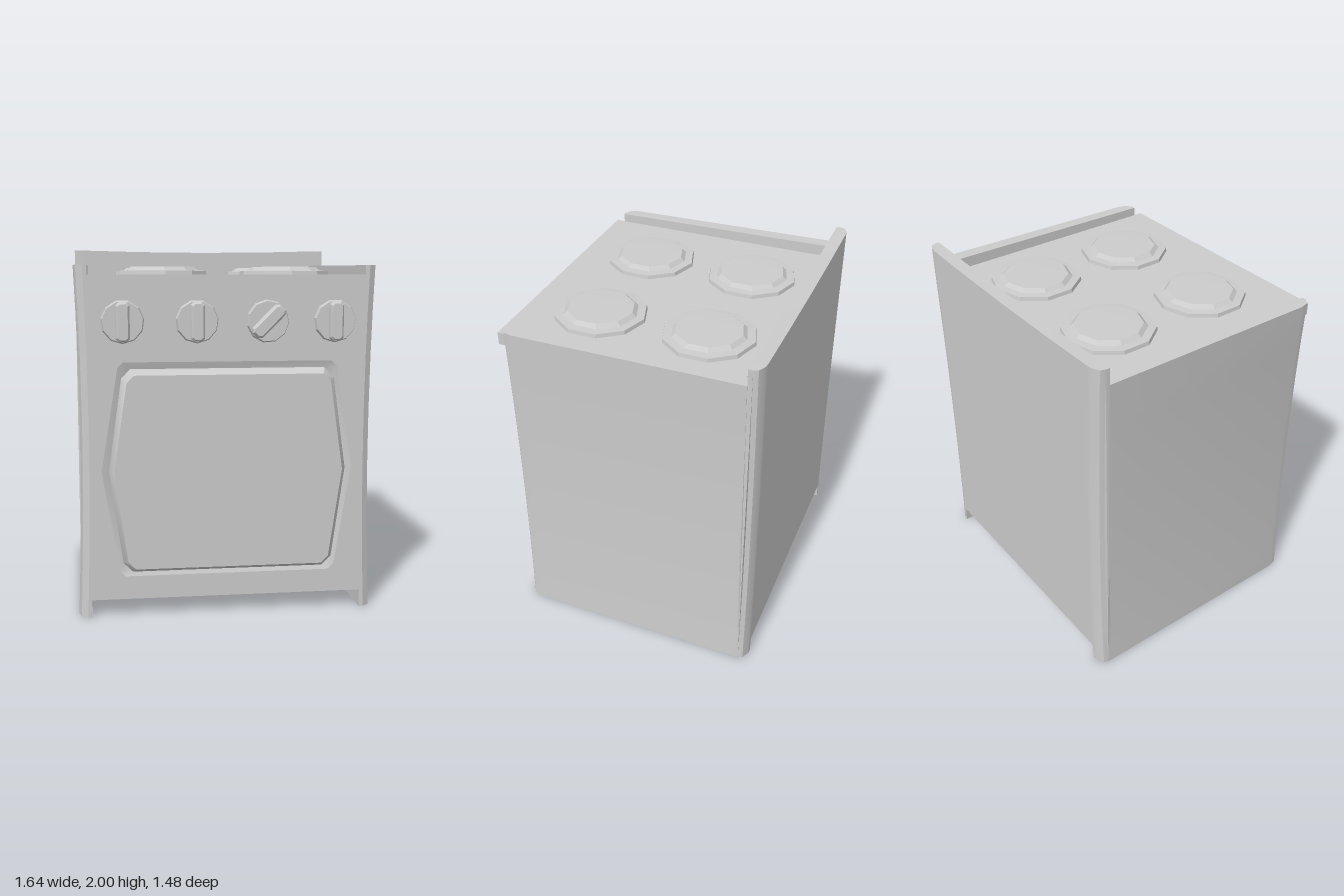
import * as THREE from 'three';
import { toCreasedNormals } from 'three/addons/utils/BufferGeometryUtils.js';

const V = (x, y, z) => new THREE.Vector3(x, y, z);
const material = new THREE.MeshStandardMaterial({ color: 0xcccccc });

function add(parent, name, geometry, x = 0, y = 0, z = 0) {
  const mesh = new THREE.Mesh(geometry, material);
  mesh.name = name;
  mesh.position.set(x, y, z);
  parent.add(mesh);
}

// Skin a series of closed cross-sections, with fan caps at both ends
function loft(rings, caps = true) {
  const n = rings[0].length, last = (rings.length - 1) * n, index = [];
  for (let i = 0; i < rings.length - 1; i++) {
    for (let j = 0; j < n; j++) {
      const a = i * n + j, b = i * n + (j + 1) % n;
      index.push(a, b, b + n, a, b + n, a + n);
    }
  }
  for (let j = 1; caps && j < n - 1; j++) {
    index.push(0, j + 1, j, last, last + j, last + j + 1);
  }
  const g = new THREE.BufferGeometry().setFromPoints(rings.flat());
  g.setIndex(index);
  return toCreasedNormals(g, 0.6);
}

// The sides are slightly pinched at mid height
const waist = (y) => 1 - 0.027 * Math.max(0, 1 - ((y - 0.95) / 0.95) ** 2);

// Six-sided outline with cut corners, widest at mid height
function doorRing(mid, end, y0, y1, cut, z) {
  const yc = (y0 + y1) / 2;
  return [
    V(-end + cut, y0, z), V(end - cut, y0, z), V(end, y0 + cut, z), V(mid, yc, z), V(end, y1 - cut, z),
    V(end - cut, y1, z), V(-end + cut, y1, z), V(-end, y1 - cut, z), V(-mid, yc, z), V(-end, y0 + cut, z),
  ];
}

// Bevelled bar outline for the knob grips
function gripRing(w, h, c, z) {
  return [V(-w + c, -h, z), V(w - c, -h, z), V(w, -h + c, z), V(w, h - c, z),
    V(w - c, h, z), V(-w + c, h, z), V(-w, h - c, z), V(-w, -h + c, z)];
}

function sidePanel(s) {
  const outline = [[0.74, 0.675], [0.765, 0.675], [0.8, 0.65], [0.813, 0.6], [0.82, -0.665], [0.74, -0.665]];
  const levels = [0, 0.1, 0.3, 0.55, 0.82, 1.1, 1.4, 1.65, 1.89];
  return loft(levels.map((y) => {
    const ring = outline.map(([x, z]) =>
      V(s * (x > 0.75 ? x * waist(y) : x), y > 1.8 && z < 0 ? 1.905 : y, z));
    return s > 0 ? ring : ring.reverse();
  }));
}

// Upright back: rounded at its vertical edges, with a dipped top and corner feet
function backPanel() {
  const half = [[0.82, -0.69, 0], [0.81, -0.715, 0], [0.77, -0.735, 0], [0.742, -0.738, 0],
    [0.738, -0.738, 0.095], [0.4, -0.738, 0.095]];
  const stations = [...half.map(([x, z, b]) => [-x, z, b]), [0, -0.738, 0.095], ...half.slice().reverse()];
  const steps = 8;
  return loft(stations.map(([x, z, bottom]) => {
    const top = 1.988 + 0.012 * Math.min(1, (x / 0.75) ** 2);
    const front = [], back = [];
    for (let k = 0; k <= steps; k++) {
      const y = bottom + (top - bottom) * k / steps;
      back.push(V(x * waist(y), y, z));
      front.unshift(V(x * waist(y), y, -0.665));
    }
    return [...back, ...front];
  }));
}

export function createModel() {
  const stove = new THREE.Group();
  stove.name = 'stove';

  // Case
  add(stove, 'body', new THREE.BoxGeometry(1.484, 1.69, 1.32), 0, 0.94, -0.015);
  add(stove, 'cooktop', new THREE.BoxGeometry(1.484, 0.07, 1.39), 0, 1.805, 0.03);
  add(stove, 'leftSidePanel', sidePanel(1));
  add(stove, 'rightSidePanel', sidePanel(-1));
  add(stove, 'backPanel', backPanel());

  // Front panel with a shallow sloped recess around the oven door
  const recess = doorRing(0.68, 0.59, 0.222, 1.383, 0.03, 0.675);
  const face = new THREE.Shape([[-0.742, 0.095], [0.742, 0.095], [0.742, 1.78], [-0.742, 1.78]]
    .map(([x, y]) => new THREE.Vector2(x, y)));
  face.holes.push(new THREE.Path(recess.map((p) => new THREE.Vector2(p.x, p.y))));
  add(stove, 'frontPanel', new THREE.ExtrudeGeometry(face, { depth: 0.03, bevelEnabled: false }), 0, 0, 0.645);
  add(stove, 'doorRecess', loft([recess, doorRing(0.637, 0.567, 0.255, 1.342, 0.05, 0.658)], false));

  // Oven door
  add(stove, 'ovenDoor', loft([
    doorRing(0.642, 0.572, 0.25, 1.347, 0.05, 0.64),
    doorRing(0.64, 0.57, 0.252, 1.345, 0.05, 0.69),
    doorRing(0.615, 0.545, 0.275, 1.318, 0.04, 0.73),
  ]));

  // Control knobs
  [[-0.56, 0], [-0.168, 0], [0.21, -Math.PI / 4], [0.575, 0]].forEach(([x, turn]) => {
    const knob = new THREE.Group();
    knob.name = 'knob';
    knob.position.set(x, 1.595, 0.67);
    knob.rotation.z = turn;
    const dial = toCreasedNormals(new THREE.CylinderGeometry(0.108, 0.118, 0.03, 11).rotateX(Math.PI / 2), 0.4);
    add(knob, 'dial', dial, 0, 0, 0.012);
    add(knob, 'grip', loft([
      gripRing(0.038, 0.105, 0.018, 0.02),
      gripRing(0.036, 0.103, 0.016, 0.055),
      gripRing(0.026, 0.093, 0.012, 0.068),
    ]));
    stove.add(knob);
  });

  // Burners: flat ring with a raised plate
  const profile = [[0.256, 1.83], [0.25, 1.861], [0.205, 1.864], [0.183, 1.884], [0, 1.887]]
    .map(([r, y]) => new THREE.Vector2(r, y));
  const burner = toCreasedNormals(new THREE.LatheGeometry(profile, 10), 0.3);
  for (const x of [-0.325, 0.365]) {
    for (const z of [-0.31, 0.308]) add(stove, 'burner', burner, x, 0, z);
  }
  return stove;
}
